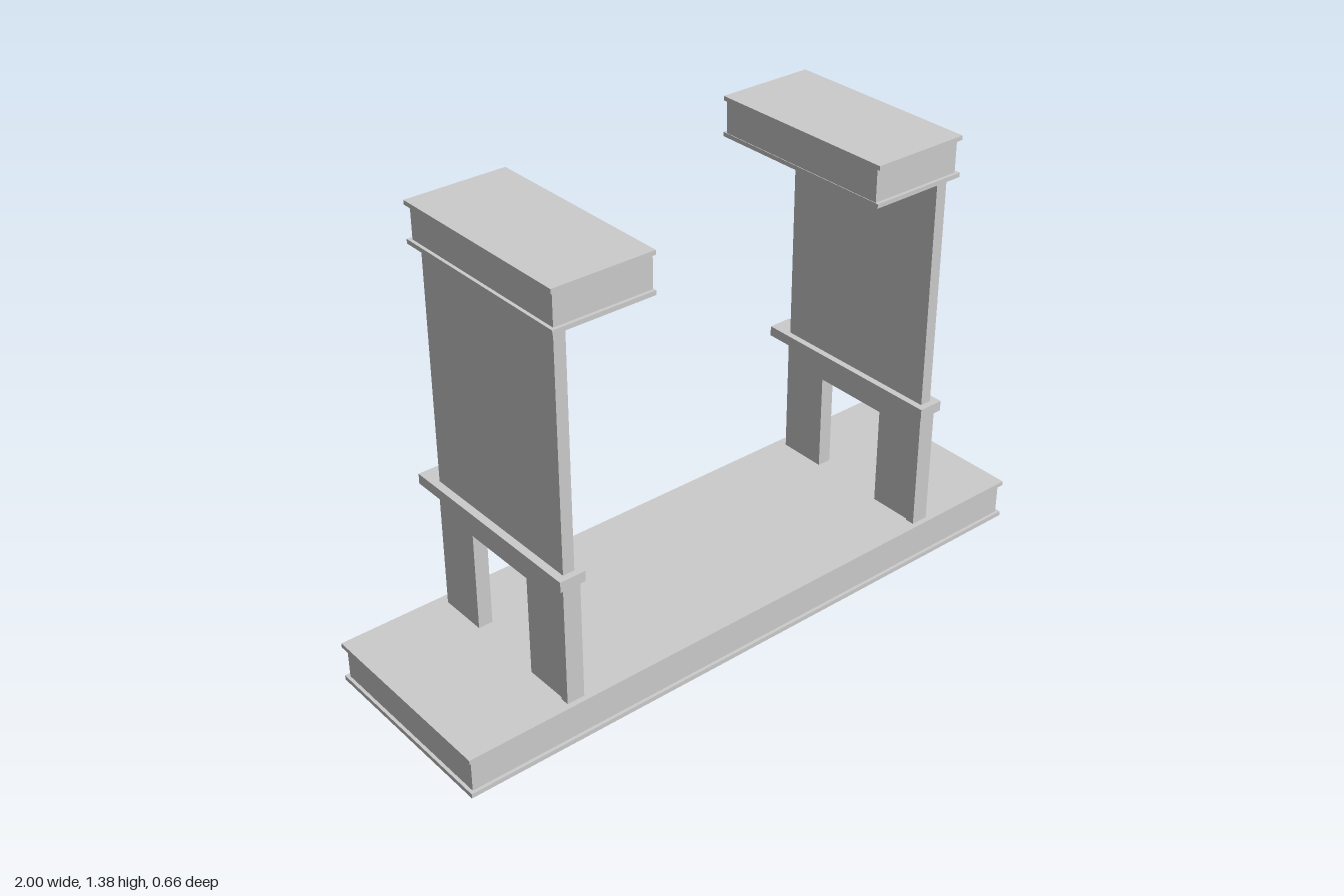
import * as THREE from 'three';

const material = new THREE.MeshStandardMaterial({ color: 0xcccccc, flatShading: true });
const openMaterial = new THREE.MeshStandardMaterial({
  color: 0xcccccc, flatShading: true, side: THREE.DoubleSide,
});

// Box given by its extents on each axis
function block(name, [x0, x1], [y0, y1], [z0, z1]) {
  const geometry = new THREE.BoxGeometry(x1 - x0, y1 - y0, z1 - z0);
  const mesh = new THREE.Mesh(geometry, material);
  mesh.name = name;
  mesh.position.set((x0 + x1) / 2, (y0 + y1) / 2, (z0 + z1) / 2);
  return mesh;
}

// Slab with a thin projecting lip at the top and bottom
function lippedSlab(name, xLip, xBody, [y0, y1], lip) {
  const group = new THREE.Group();
  group.name = name;
  const zLip = [-0.292, 0.33];
  group.add(
    block('bottomLip', xLip, [y0, y0 + lip], zLip),
    block('slabBody', xBody, [y0 + lip, y1 - lip], [-0.28, 0.32]),
    block('topLip', xLip, [y1 - lip, y1], zLip),
  );
  return group;
}

// Lower wall with a doorway, cut as an arch-shaped outline in the z-y plane
function doorwayWall() {
  const outline = [
    [-0.26, 0.127], [-0.105, 0.127], [-0.105, 0.44], [0.143, 0.44],
    [0.143, 0.127], [0.285, 0.127], [0.285, 0.505], [-0.26, 0.505],
  ].map(([z, y]) => new THREE.Vector2(-z, y));
  const geometry = new THREE.ExtrudeGeometry(new THREE.Shape(outline), {
    depth: 0.045, bevelEnabled: false,
  });
  geometry.rotateY(Math.PI / 2);
  const mesh = new THREE.Mesh(geometry, material);
  mesh.name = 'doorwayWall';
  mesh.position.x = 0.625;
  return mesh;
}

// Hollow rail, open at its rear end
function rail() {
  const mesh = block('rail', [0.61, 0.69], [0.505, 0.537], [-0.328, 0.323]);
  const index = Array.from(mesh.geometry.index.array);
  mesh.geometry.setIndex(index.slice(0, 30)); // leave off the rear face
  mesh.geometry.clearGroups();
  mesh.material = openMaterial;
  return mesh;
}

function pier(name, side) {
  const group = new THREE.Group();
  group.name = name;
  const mx = (a, b) => (side > 0 ? [a, b] : [-b, -a]);
  const wall = doorwayWall();
  if (side < 0) wall.position.x = -0.67;
  const ledge = rail();
  ledge.position.x *= side;
  group.add(
    wall,
    block('frontPilaster', mx(0.62, 0.675), [0.127, 0.505], [0.285, 0.313]),
    ledge,
    block('upperWall', mx(0.63, 0.666), [0.537, 1.255], [-0.26, 0.303]),
    lippedSlab('capital', mx(0.375, 0.687), mx(0.377, 0.677), [1.255, 1.377], 0.013),
  );
  return group;
}

export function createModel() {
  const model = new THREE.Group();
  model.name = 'twinPierStructure';
  model.add(
    lippedSlab('base', [-1, 1], [-0.99, 0.99], [0, 0.127], 0.014),
    pier('leftPier', 1),
    pier('rightPier', -1),
  );
  return model;
}
